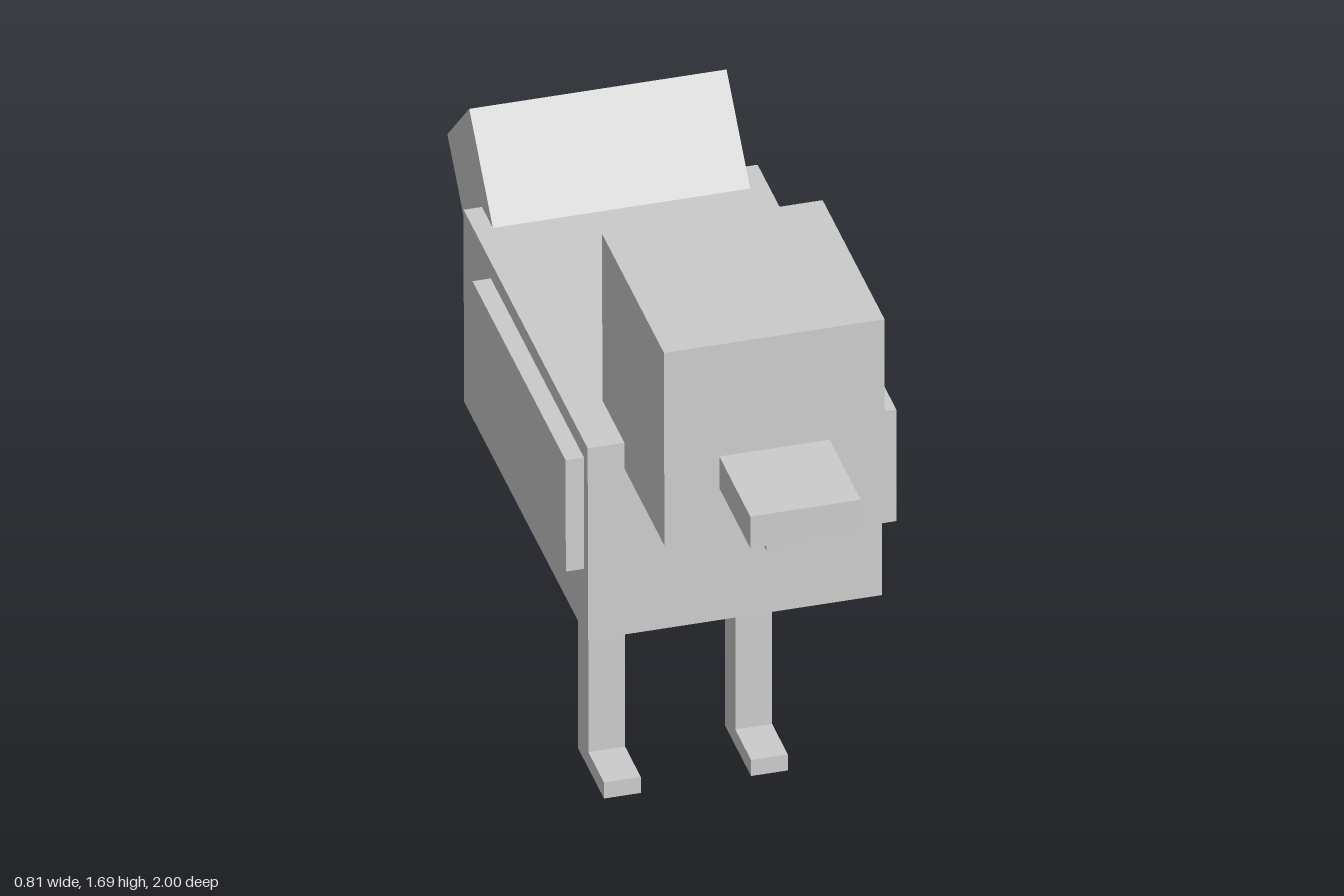
import * as THREE from 'three';

export function createModel() {
  const model = new THREE.Group();
  model.name = 'blockBird';
  const grey = new THREE.MeshStandardMaterial({ color: 0xcccccc, name: 'grey' });

  // Box given by its extents on each axis, optionally pitched about x
  function block(name, [x0, x1], [y0, y1], [z0, z1], pitch = 0) {
    const mesh = new THREE.Mesh(new THREE.BoxGeometry(x1 - x0, y1 - y0, z1 - z0), grey);
    mesh.name = name;
    mesh.position.set((x0 + x1) / 2, (y0 + y1) / 2, (z0 + z1) / 2);
    mesh.rotation.x = pitch;
    model.add(mesh);
    return mesh;
  }

  const tilt = -0.006; // slight nose-up lean of the bird

  // Body and head
  block('body', [-0.365, 0.355], [0.68, 1.217], [-0.697, 0.385], tilt);
  block('head', [-0.275, 0.265], [1.148, 1.687], [0.19, 0.73], tilt);

  // Beak and wattle, running back into the head
  block('beak', [-0.14, 0.13], [1.286, 1.375], [0.7, 1.0]);
  block('wattle', [-0.05, 0.037], [1.15, 1.29], [0.7, 0.82]);

  // Tail, raised at 45 degrees from the back of the body
  const tail = block('tail', [-0.32, 0.31], [0, 0.5], [0, 0.27], -Math.PI / 4);
  tail.position.set(-0.005, 1.148, -0.728);

  // Wings, legs and feet, mirrored about the bird's centre line
  const centre = -0.005;
  for (const [side, s] of [['left', 1], ['right', -1]]) {
    const span = (a, b) => [centre + s * a, centre + s * b].sort((p, q) => p - q);
    block(side + 'Wing', span(0.34, 0.405), [0.86, 1.172], [-0.46, 0.352], tilt);
    block(side + 'Leg', span(0.135, 0.225), [0, 0.7], [-0.18, -0.092]);
    block(side + 'Foot', span(0.135, 0.225), [0, 0.045], [-0.092, 0.045]);
  }

  return model;
}
